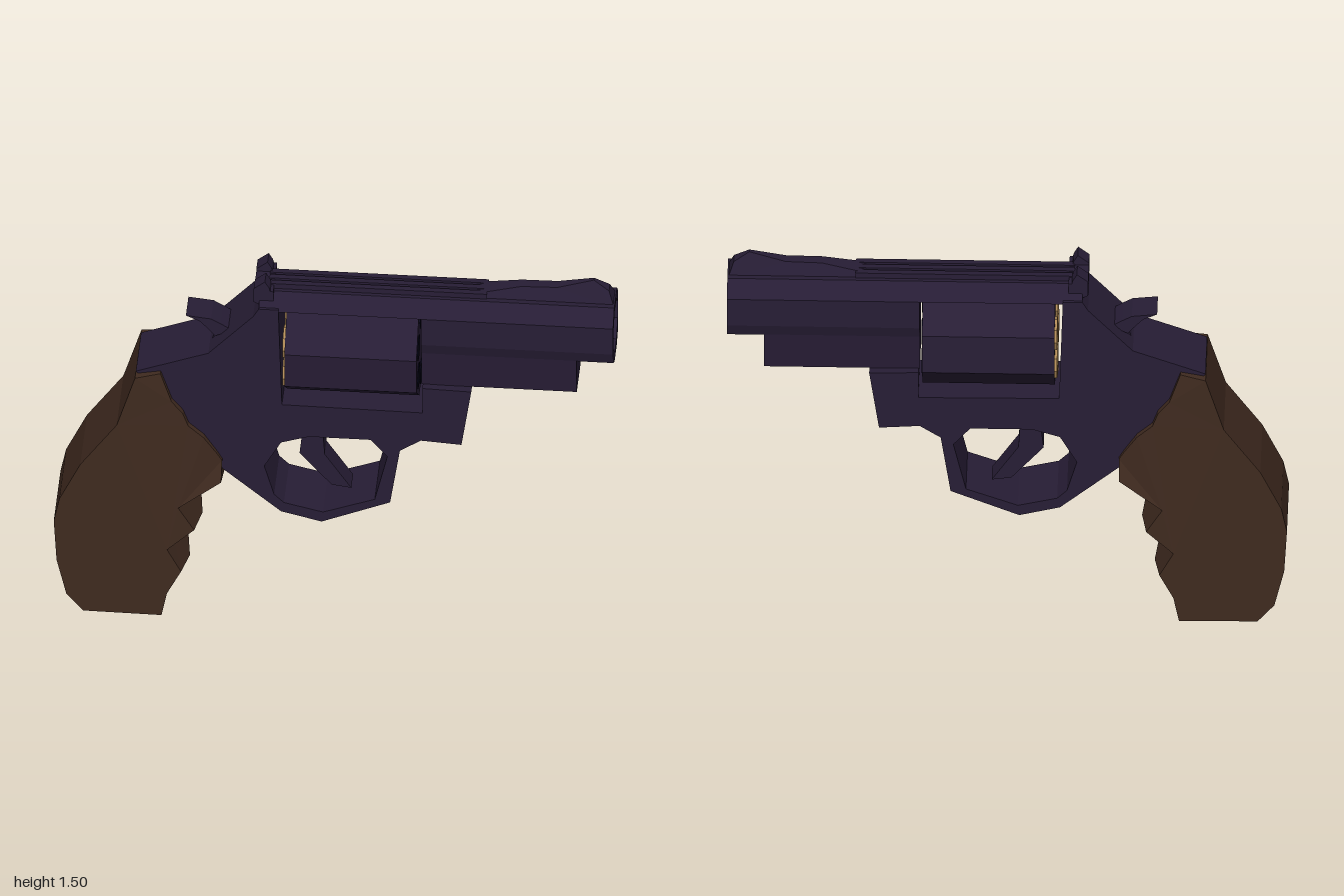
import * as THREE from 'three';

const flat = (name, color) => {
  const m = new THREE.MeshStandardMaterial({ color, flatShading: true });
  m.name = name;
  return m;
};

export function createModel() {
  const group = new THREE.Group();
  const steel = flat('dark steel', 0x271d35);
  const wood = flat('brown grip', 0x3f2a1f);
  const brass = flat('brass', 0xb08a56);
  const chamberBlue = flat('chamber navy', 0x06071c);

  const add = (name, geometry, material = steel) => {
    const mesh = new THREE.Mesh(geometry, material);
    mesh.name = name;
    group.add(mesh);
    return mesh;
  };
  const vectors = pts => pts.map(p => new THREE.Vector2(p[0], p[1]));
  // Outer contour is kept counter-clockwise so the hole walls face the right way
  const extrude = (pts, depth, holes) => {
    const outer = vectors(pts);
    if (THREE.ShapeUtils.isClockWise(outer)) outer.reverse();
    const shape = new THREE.Shape(outer);
    for (const h of holes) shape.holes.push(new THREE.Path(vectors(h)));
    return new THREE.ExtrudeGeometry(shape, { depth, bevelEnabled: false });
  };
  // Side profile [x, y] extruded across z, centred
  const plate = (name, pts, halfWidth, holes = []) =>
    add(name, extrude(pts, 2 * halfWidth, holes).translate(0, 0, -halfWidth));
  // Cross-section [z, y] extruded along x
  const bar = (name, pts, x0, x1, material = steel, holes = []) => {
    const flip = list => list.map(([z, y]) => [-z, y]);
    const g = extrude(flip(pts), x1 - x0, holes.map(flip));
    return add(name, g.rotateY(Math.PI / 2).translate(x0, 0, 0), material);
  };
  const mirrored = half => [...half, ...half.slice().reverse().map(([z, y]) => [-z, y])];
  const ring = (cz, cy, r, sides, startDeg = 0) =>
    Array.from({ length: sides }, (_, i) => {
      const a = THREE.MathUtils.degToRad(startDeg) + (i / sides) * Math.PI * 2;
      return [cz + r * Math.cos(a), cy + r * Math.sin(a)];
    });

  // Frame with trigger guard; the cylinder window is open at the top
  plate('frame', [
    [-0.709, 1.068], [-0.45, 1.165], [-0.29, 1.34], [-0.27, 1.375], [-0.2, 1.375],
    [-0.187, 0.95], [0.315, 0.945], [0.315, 1.055], [0.49, 1.05], [0.455, 0.81],
    [0.31, 0.82], [0.235, 0.77], [0.2, 0.535], [-0.045, 0.433], [-0.19, 0.47],
    [-0.4, 0.65], [-0.52, 0.8], [-0.66, 1.0],
  ], 0.113, [[
    [-0.25, 0.67], [-0.19, 0.78], [-0.09, 0.812], [0.13, 0.812], [0.19, 0.74],
    [0.145, 0.545], [-0.04, 0.476], [-0.18, 0.51], [-0.215, 0.545],
  ]]);

  // Top strap and sighting rib
  bar('topStrap', mirrored([[0.112, 1.365], [0.06, 1.42]]), -0.27, 0.31);
  for (const z of [-0.033, 0, 0.033])
    bar('sightRib', [[z - 0.013, 1.41], [z + 0.013, 1.41], [z + 0.011, 1.44], [z - 0.011, 1.44]], -0.24, 0.54);

  // Barrel, hollow at the muzzle
  const barrel = mirrored([[0.06, 1.42], [0.112, 1.365], [0.112, 1.25], [0.096, 1.2], [0.05, 1.17]]);
  bar('barrel', barrel, 0.31, 0.88);
  bar('muzzle', barrel, 0.88, 0.997, steel, [ring(0, 1.298, 0.1, 8, 22.5)]);
  bar('underlug', mirrored([[0.098, 1.22], [0.085, 1.053]]), 0.31, 0.865);

  // Front sight ramp, narrowing upward
  const ramp = plate('frontSight', [
    [0.4, 1.41], [0.53, 1.44], [0.66, 1.465], [0.79, 1.468], [0.92, 1.5], [0.975, 1.465], [0.995, 1.41],
  ], 0.045).geometry;
  const p = ramp.attributes.position;
  for (let i = 0; i < p.count; i++)
    p.setZ(i, p.getZ(i) * THREE.MathUtils.clamp((1.51 - p.getY(i)) / 0.1, 0.15, 1));
  ramp.computeVertexNormals();

  // Rear sight: base with two posts around a notch
  plate('rearSightBase', [[-0.27, 1.33], [-0.22, 1.36], [-0.22, 1.435], [-0.29, 1.435], [-0.29, 1.385], [-0.27, 1.375]], 0.085);
  for (const s of [-1, 1])
    plate('rearSightPost', [[-0.29, 1.43], [-0.23, 1.43], [-0.235, 1.45], [-0.25, 1.477], [-0.29, 1.445]], 0.027)
      .position.z = s * 0.058;

  // Hammer and its spur
  plate('hammer', [
    [-0.45, 1.15], [-0.43, 1.21], [-0.45, 1.25], [-0.42, 1.255], [-0.37, 1.23], [-0.295, 1.33], [-0.27, 1.2],
  ], 0.035);
  plate('hammerSpur', [
    [-0.535, 1.285], [-0.485, 1.262], [-0.46, 1.235], [-0.43, 1.2], [-0.37, 1.23], [-0.41, 1.255], [-0.445, 1.275],
  ], 0.055);

  // Trigger
  plate('trigger', [
    [-0.115, 0.815], [-0.13, 0.68], [-0.015, 0.545], [0.055, 0.535], [-0.04, 0.68], [-0.045, 0.76], [0.02, 0.815],
  ], 0.04);

  // Eight-sided cylinder with six chambers and cartridge rims
  const cy = 1.172;
  bar('cylinder', ring(0, cy, 0.198, 8, 18), -0.172, 0.3);
  for (const [z, y] of ring(0, cy, 0.125, 6, 30)) {
    bar('chamber', ring(z, y, 0.048, 8), 0.299, 0.303, chamberBlue);
    bar('cartridgeRim', ring(z, y, 0.06, 8), -0.181, -0.172, brass);
  }

  // Grip outline: x, y, half width, and the offset of the centre line at the finger ridges
  const outline = [
    [-0.71, 1.058, 0.142], [-0.775, 0.845, 0.145], [-0.905, 0.66, 0.145], [-0.98, 0.5, 0.145],
    [-1, 0.4, 0.145], [-0.99, 0.225, 0.145], [-0.955, 0.075, 0.145], [-0.895, 0.003, 0.145],
    [-0.615, 0, 0.145], [-0.595, 0.1, 0.145], [-0.545, 0.2, 0.145, 0.02, -0.035], [-0.595, 0.295, 0.145],
    [-0.498, 0.39, 0.145, 0.018, -0.03], [-0.555, 0.485, 0.145], [-0.402, 0.61, 0.145, 0, -0.055],
    [-0.4, 0.695, 0.125], [-0.42, 0.73, 0.128], [-0.465, 0.8, 0.135], [-0.52, 0.85, 0.135],
    [-0.54, 0.905, 0.135], [-0.58, 0.955, 0.135], [-0.62, 1.075, 0.13],
  ];
  const n = outline.length;
  const verts = [];
  for (const side of [1, 0, -1])
    for (const [x, y, w, dx = 0, dy = 0] of outline)
      verts.push(side ? x : x + dx, side ? y : y + dy, side * w);
  const index = [];
  for (const [a, b, c] of THREE.ShapeUtils.triangulateShape(vectors(outline), []))
    index.push(a, b, c, c + 2 * n, b + 2 * n, a + 2 * n);
  // Edge strips, with mirrored diagonals on the two halves
  for (let i = 0; i < n; i++) {
    const j = (i + 1) % n;
    index.push(i, i + n, j + n, i, j + n, j);
    index.push(i + n, i + 2 * n, j + n, j + n, i + 2 * n, j + 2 * n);
  }
  const grip = new THREE.BufferGeometry();
  grip.setAttribute('position', new THREE.Float32BufferAttribute(verts, 3));
  grip.setIndex(index);
  const gripFlat = grip.toNonIndexed();
  gripFlat.computeVertexNormals();
  add('grip', gripFlat, wood);

  return group;
}
